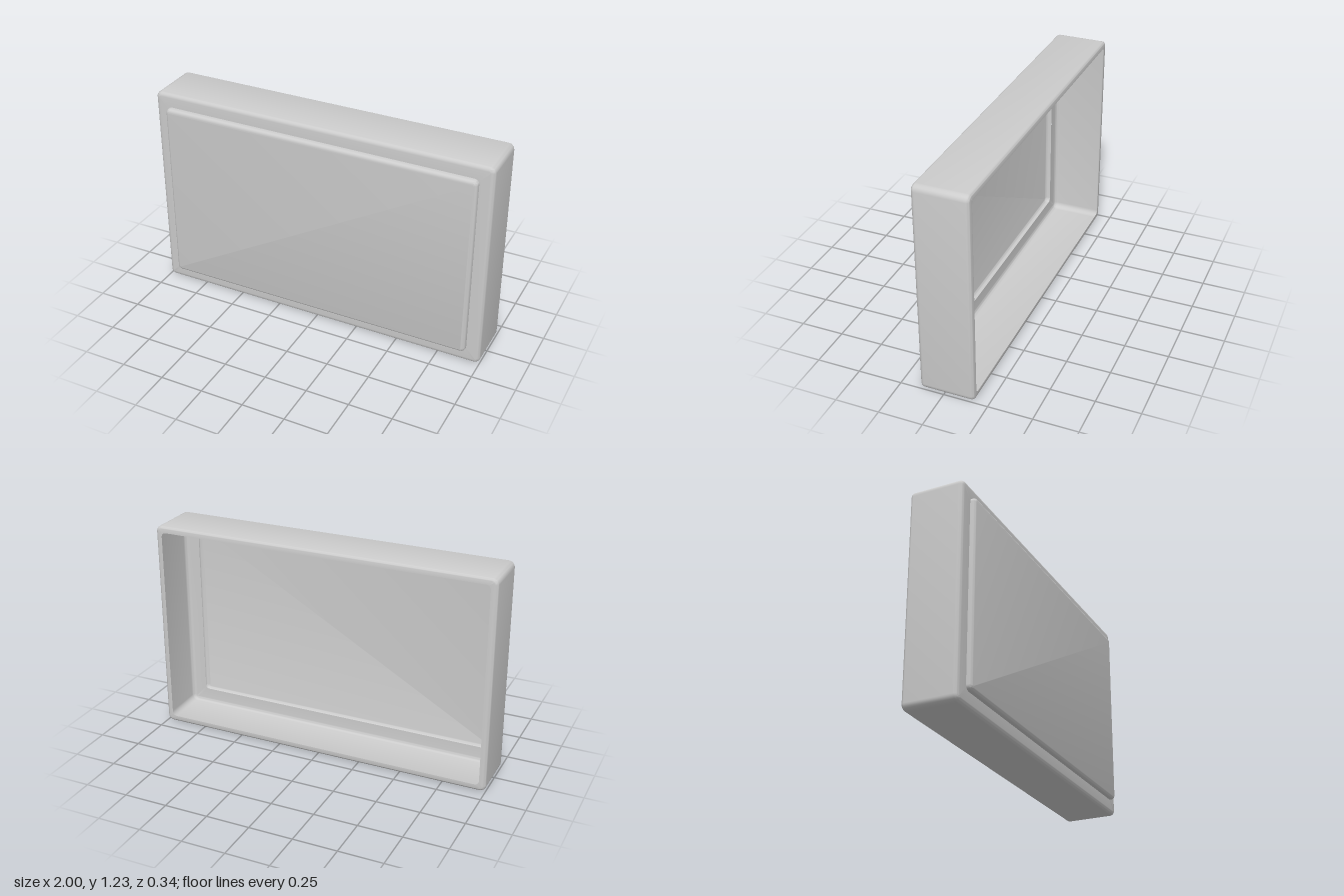
import * as THREE from 'three';
import { toCreasedNormals } from 'three/addons/utils/BufferGeometryUtils.js';

const HALF_W = 1, HALF_H = 0.617, STEPS = 6;

// Rounded rectangle, counter-clockwise seen from the front
function ring(inset, z, r) {
  const pts = [];
  const cx = HALF_W - inset - r, cy = HALF_H - inset - r;
  [[1, 1], [-1, 1], [-1, -1], [1, -1]].forEach(([sx, sy], q) => {
    for (let i = 0; i <= STEPS; i++) {
      const a = (q + i / STEPS) * Math.PI / 2;
      pts.push([sx * cx + r * Math.cos(a), HALF_H + sy * cy + r * Math.sin(a), z]);
    }
  });
  return pts;
}

// Quarter-round rows from the side wall to the face at `z`; dir is 1 for front, -1 for back
function roundEdge(inset, z, fillet, cornerR, dir) {
  const rows = [];
  for (let i = 0; i <= STEPS; i++) {
    const a = i / STEPS * Math.PI / 2, d = fillet * (1 - Math.cos(a));
    rows.push([inset + d, z - dir * fillet * (1 - Math.sin(a)), cornerR - d]);
  }
  return rows;
}

// Skin a list of [inset, z, cornerRadius] rows; optionally close the front
function loft(rows, capped) {
  const rings = rows.map(r => ring(...r));
  const n = rings[0].length;
  const idx = [];
  for (let j = 0; j < rings.length - 1; j++) {
    for (let i = 0; i < n; i++) {
      const k = (i + 1) % n, a = j * n, b = a + n;
      idx.push(a + i, a + k, b + k, a + i, b + k, b + i);
    }
  }
  if (capped) {
    const last = (rings.length - 1) * n;
    for (let i = 1; i < n - 1; i++) idx.push(last, last + i, last + i + 1);
  }
  const g = new THREE.BufferGeometry();
  g.setAttribute('position', new THREE.Float32BufferAttribute(rings.flat(2), 3));
  g.setIndex(idx);
  return toCreasedNormals(g, 0.6);
}

export function createModel() {
  const group = new THREE.Group();
  const material = new THREE.MeshStandardMaterial({ color: 0xcccccc, side: THREE.DoubleSide });
  const add = (name, geometry) => {
    const mesh = new THREE.Mesh(geometry, material);
    mesh.name = name;
    group.add(mesh);
  };

  // Thin shell: back lip, side wall, front flange around the opening
  add('housing', loft([
    [0.037, -0.172, 0.025],
    ...roundEdge(0, -0.172, 0.02, 0.035, -1).reverse(),
    ...roundEdge(0, 0.137, 0.025, 0.035, 1),
    [0.09, 0.137, 0.02],
  ], false));

  // Shallow open-backed panel standing just proud of the flange
  add('frontPanel', loft([
    [0.077, 0.142, 0.028],
    ...roundEdge(0.077, 0.172, 0.022, 0.028, 1),
  ], true));

  return group;
}
